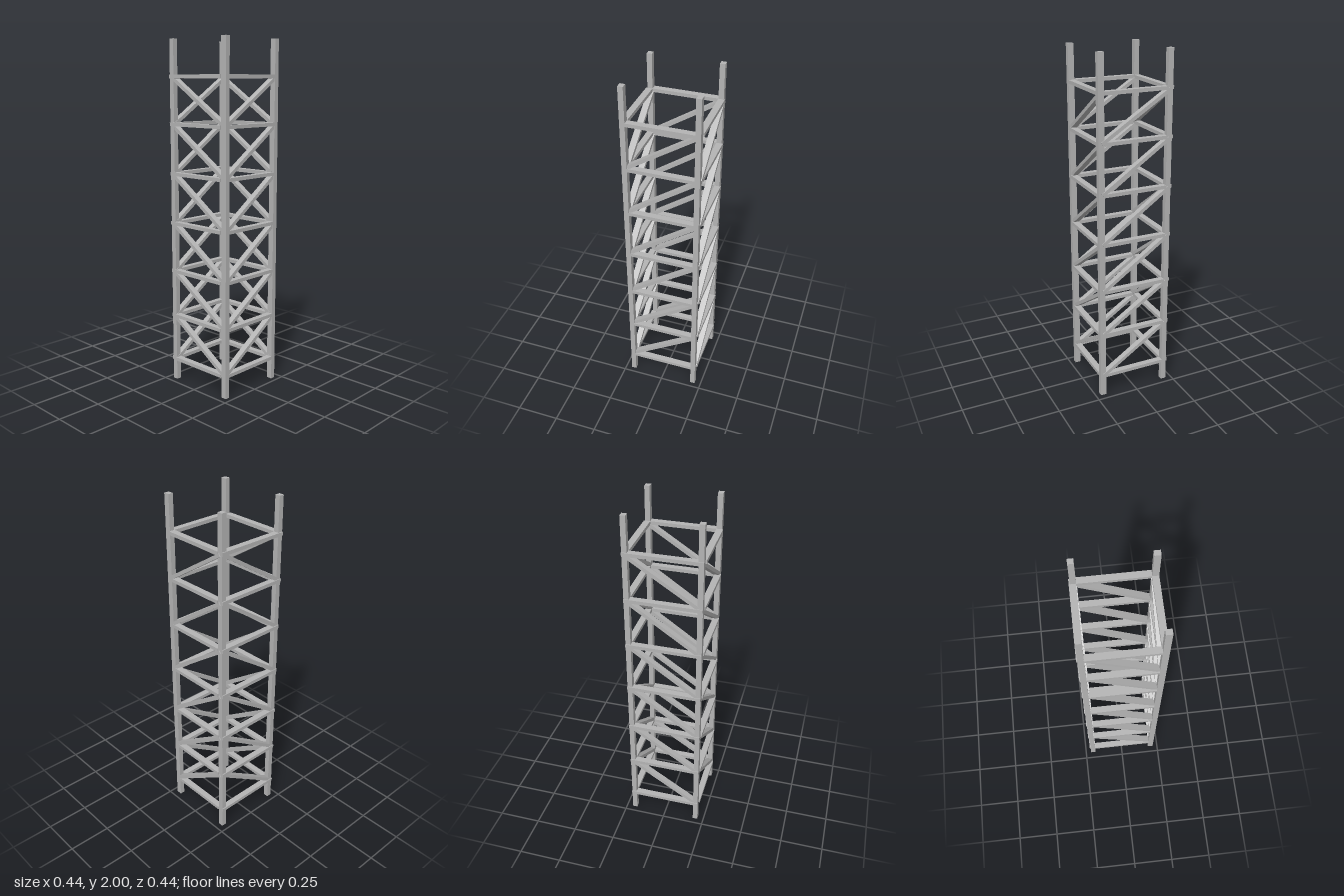
import * as THREE from 'three';

export function createModel() {
  const tower = new THREE.Group();
  tower.name = 'latticeTower';
  const steel = new THREE.MeshStandardMaterial({ color: 0xb4b4b4 });
  steel.name = 'greySteel';

  // box given by its limits on each axis
  const bar = (name, [x0, x1], [y0, y1], [z0, z1]) => {
    const mesh = new THREE.Mesh(new THREE.BoxGeometry(x1 - x0, y1 - y0, z1 - z0), steel);
    mesh.position.set((x0 + x1) / 2, (y0 + y1) / 2, (z0 + z1) / 2);
    mesh.name = name;
    tower.add(mesh);
  };

  // corner posts
  for (const x of [[-0.213, -0.184], [0.184, 0.213]])
    for (const z of [[-0.215, -0.184], [0.186, 0.22]]) bar('cornerPost', x, [0, 2], z);

  // horizontal rings
  const levels = [0.13, 0.4, 0.672, 0.957, 1.245, 1.527, 1.793];
  for (const y of levels) {
    const h = [y - 0.01, y + 0.01];
    bar('frontRail', [-0.213, 0.213], h, [0.184, 0.22]);
    bar('backRail', [-0.213, 0.213], h, [-0.221, -0.185]);
    bar('rightRail', [0.183, 0.219], h, [-0.185, 0.185]);
    bar('leftRail', [-0.22, -0.184], h, [-0.185, 0.185]);
  }

  // diagonal braces: rise towards +x on front and back, towards -z on the sides
  const reach = 0.2;
  for (let i = 0; i < levels.length - 1; i++) {
    const low = levels[i] + 0.004, high = levels[i + 1] - 0.006;
    const length = Math.hypot(2 * reach, high - low);
    const angle = Math.atan2(high - low, 2 * reach);
    const y = (low + high) / 2;
    for (const [name, z] of [['frontBrace', 0.198], ['backBrace', -0.199]]) {
      const brace = new THREE.Mesh(new THREE.BoxGeometry(length, 0.02, 0.035), steel);
      brace.position.set(0, y, z);
      brace.rotation.z = angle;
      brace.name = name;
      tower.add(brace);
    }
    for (const [name, x] of [['rightBrace', 0.2005], ['leftBrace', -0.195]]) {
      const brace = new THREE.Mesh(new THREE.BoxGeometry(0.035, 0.02, length), steel);
      brace.position.set(x, y, 0);
      brace.rotation.x = angle;
      brace.name = name;
      tower.add(brace);
    }
  }
  return tower;
}
